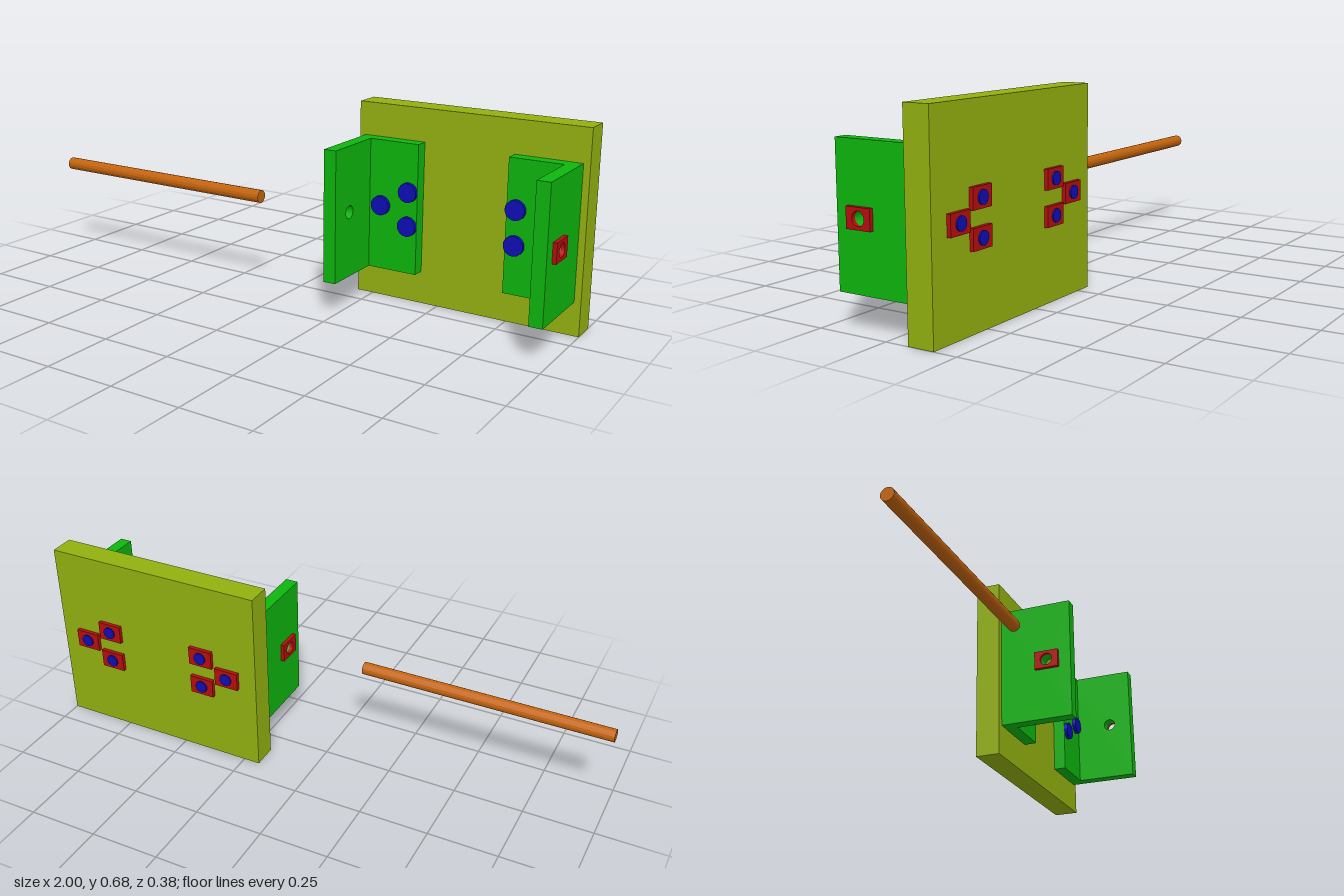
import * as THREE from 'three';

const mat = (color) => new THREE.MeshStandardMaterial({ color, flatShading: true });
const olive = mat(0x92b010), green = mat(0x0db50d), red = mat(0xb50d0d),
  blue = mat(0x0d0db5), orange = mat(0xc4640d);

const MID_Y = 0.34, ROD_Z = 0.1, ROD_R = 0.0225;

function add(parent, name, geometry, material, x = 0, y = 0, z = 0) {
  const mesh = new THREE.Mesh(geometry, material);
  mesh.name = name;
  mesh.position.set(x, y, z);
  parent.add(mesh);
  return mesh;
}

// Plate with a round hole at the origin, facing x, centred on its thickness
function drilledPlate(z0, z1, height, thickness) {
  const shape = new THREE.Shape();
  const h = height / 2;
  shape.moveTo(-z1, -h).lineTo(-z0, -h).lineTo(-z0, h).lineTo(-z1, h).closePath();
  const hole = new THREE.Path();
  hole.absarc(0, 0, ROD_R, 0, Math.PI * 2, true);
  shape.holes.push(hole);
  return new THREE.ExtrudeGeometry(shape, { depth: thickness, bevelEnabled: false, curveSegments: 16 })
    .translate(0, 0, -thickness / 2).rotateY(Math.PI / 2);
}

// Cylinder along z between two depths
function pin(radius, z0, z1, sides) {
  return new THREE.CylinderGeometry(radius, radius, z1 - z0, sides)
    .rotateX(Math.PI / 2).translate(0, 0, (z0 + z1) / 2);
}

// Angle bracket with its bolts and nuts; side is +1 for the left one
function bracket(side) {
  const group = new THREE.Group();
  group.name = side > 0 ? 'leftBracket' : 'rightBracket';
  const cx = 0.595;
  const at = (d) => cx + side * d;

  add(group, 'sidePlate', drilledPlate(-0.18, 0.09, 0.452, 0.045), green, at(0.3605), MID_Y, ROD_Z);
  add(group, 'backPlate', new THREE.BoxGeometry(0.18, 0.452, 0.045), green, at(0.248), MID_Y, -0.0585);
  add(group, 'rodNut', drilledPlate(-0.045, 0.045, 0.067, 0.0135), red, at(0.3895), MID_Y, ROD_Z);

  // Three bolts in a triangle, nuts on the rear of the board
  for (const [d, dy] of [[0.293, 0], [0.191, 0.059], [0.191, -0.059]]) {
    const bolt = new THREE.Group();
    bolt.name = 'bolt';
    bolt.position.set(at(d), MID_Y + dy, 0);
    add(bolt, 'boltHead', pin(0.0335, -0.036, -0.0225, 24), blue);
    add(bolt, 'boltShank', pin(ROD_R, -0.19, -0.03, 16), blue);
    add(bolt, 'boltNut', new THREE.BoxGeometry(0.09, 0.067, 0.0135), red, 0, 0, -0.178);
    group.add(bolt);
  }
  return group;
}

export function createModel() {
  const model = new THREE.Group();
  model.name = 'rodHolder';

  // Mounting board
  add(model, 'board', new THREE.BoxGeometry(0.81, 0.68, 0.09), olive, 0.595, 0.34, -0.126);
  model.add(bracket(1), bracket(-1));

  // Loose rod lined up with the bracket holes
  add(model, 'rod', new THREE.CylinderGeometry(ROD_R, ROD_R, 0.9, 16).rotateZ(Math.PI / 2),
    orange, -0.55, MID_Y, ROD_Z);
  return model;
}
